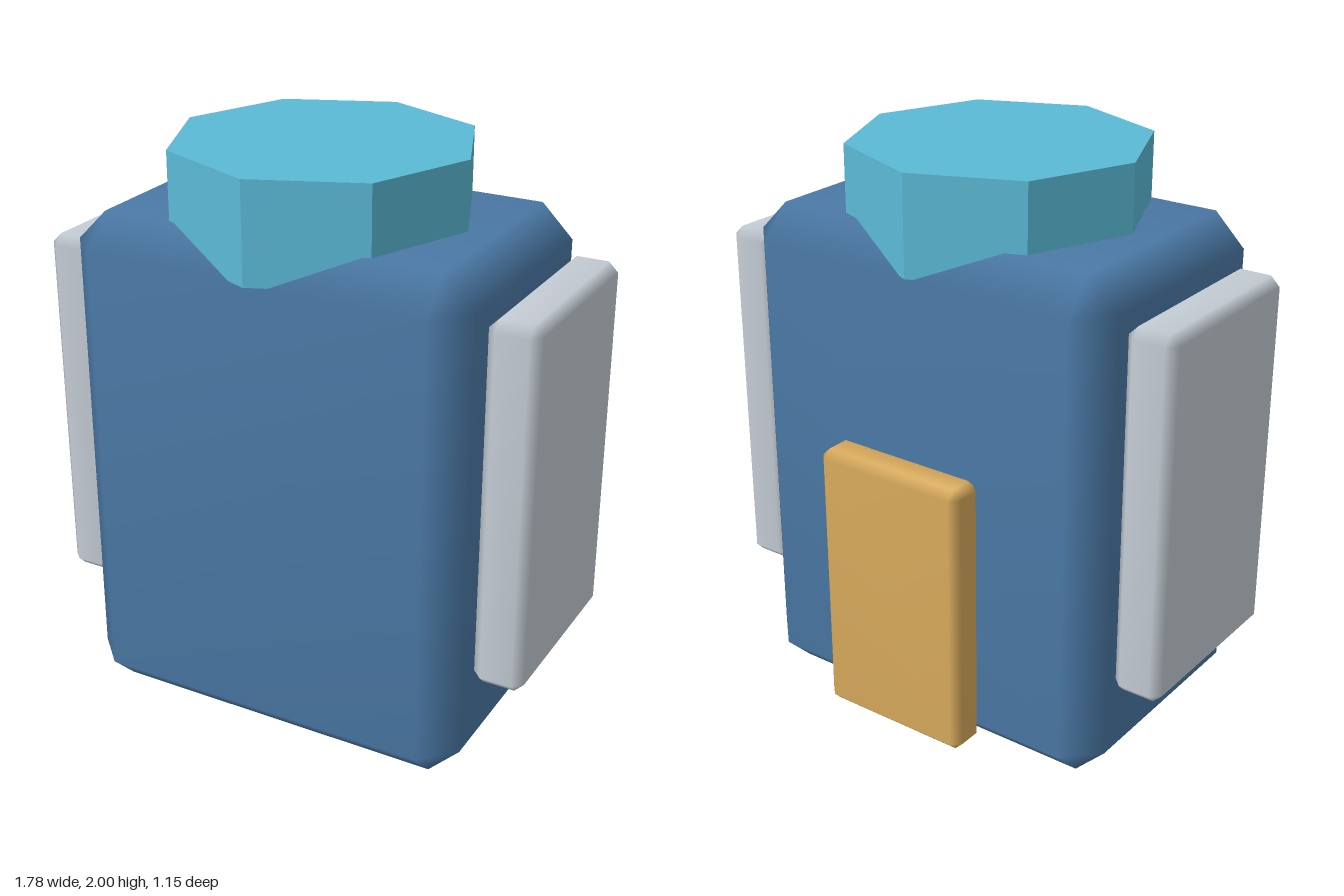
import * as THREE from 'three';
import { mergeVertices } from 'three/addons/utils/BufferGeometryUtils.js';
import { ConvexGeometry } from 'three/addons/geometries/ConvexGeometry.js';

const material = (name, color) => {
  const m = new THREE.MeshStandardMaterial({ color });
  m.name = name;
  return m;
};

// Box with a single chamfer on every edge and smooth shared normals
function bevelledBox(w, h, d, b) {
  const points = [];
  for (const sx of [-1, 1]) for (const sy of [-1, 1]) for (const sz of [-1, 1]) {
    for (let face = 0; face < 3; face++) {
      points.push(new THREE.Vector3(
        sx * (w / 2 - (face === 0 ? 0 : b)),
        sy * (h / 2 - (face === 1 ? 0 : b)),
        sz * (d / 2 - (face === 2 ? 0 : b))
      ));
    }
  }
  const hull = new ConvexGeometry(points);
  hull.deleteAttribute('normal');
  const geometry = mergeVertices(hull);
  geometry.computeVertexNormals();
  return geometry;
}

export function createModel() {
  const model = new THREE.Group();
  const blue = material('body blue', 0x4a78a5);
  const cyan = material('lid cyan', 0x5abad6);
  const grey = material('panel grey', 0xc4ccd4);
  const gold = material('plate gold', 0xd8aa5c);

  const add = (name, geometry, mat, x, y, z) => {
    const mesh = new THREE.Mesh(geometry, mat);
    mesh.name = name;
    mesh.position.set(x, y, z);
    model.add(mesh);
  };

  // Main block
  add('body', bevelledBox(1.42, 1.77, 0.98, 0.11), blue, 0, 0.885, 0.052);

  // Eight-sided lid, sunk into the top, points facing front and back
  const lid = new THREE.CylinderGeometry(0.51, 0.51, 0.34, 8).toNonIndexed();
  lid.computeVertexNormals();
  add('lid', lid, cyan, 0, 1.83, 0.061);

  // Matching side panels
  for (const side of [1, -1]) {
    add(side > 0 ? 'leftPanel' : 'rightPanel',
      bevelledBox(0.176, 1.275, 0.69, 0.033), grey, side * 0.802, 0.987, 0.033);
  }

  // Plate on the back
  add('backPlate', bevelledBox(0.57, 0.98, 0.14, 0.03), gold, 0, 0.553, -0.505);

  return model;
}
